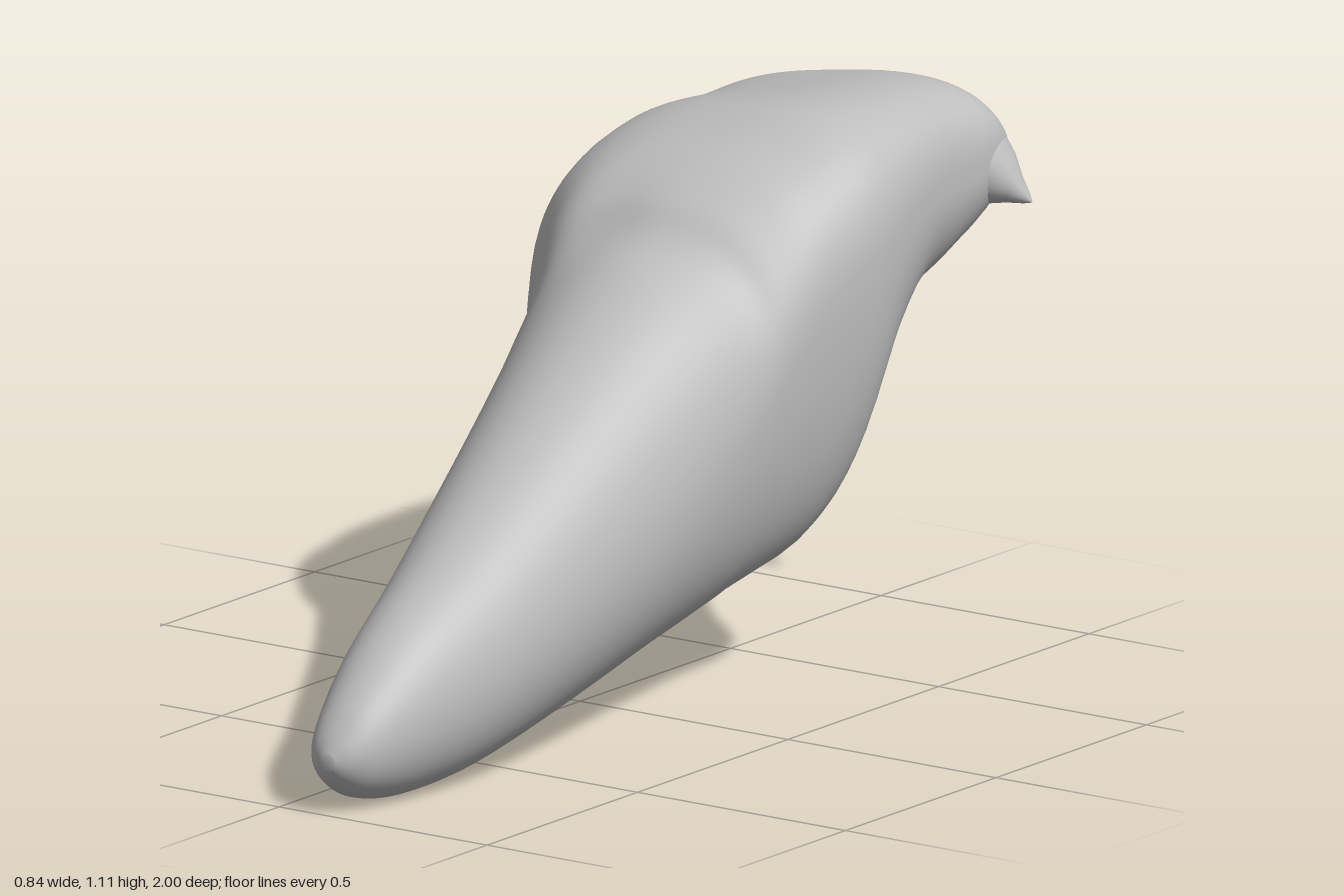
import * as THREE from 'three';

// Outline from root tip to biting edge: z, left x, right x, bottom y, top y
const OUTLINE = [
  [1.0, 0.10, 0.13, 0.09, 0.12],
  [0.975, 0.06, 0.165, 0.055, 0.165],
  [0.92, 0.03, 0.20, 0.02, 0.23],
  [0.80, -0.01, 0.24, 0.0, 0.33],
  [0.60, -0.06, 0.28, 0.01, 0.45],
  [0.30, -0.135, 0.31, 0.06, 0.64],
  [0.0, -0.21, 0.33, 0.12, 0.83],
  [-0.14, -0.24, 0.34, 0.16, 0.905],
  [-0.21, -0.28, 0.35, 0.18, 0.975],
  [-0.30, -0.33, 0.365, 0.20, 1.03],
  [-0.41, -0.36, 0.38, 0.225, 1.07],
  [-0.50, -0.37, 0.385, 0.28, 1.10],
  [-0.60, -0.40, 0.375, 0.44, 1.11],
  [-0.70, -0.42, 0.365, 0.57, 1.112],
  [-0.80, -0.42, 0.36, 0.62, 1.11],
  [-0.90, -0.39, 0.36, 0.69, 1.095],
  [-0.965, -0.34, 0.335, 0.77, 1.04],
  [-0.992, -0.27, 0.29, 0.84, 0.985],
  [-1.0, -0.18, 0.22, 0.89, 0.94],
];
const SIDES = 72, STEPS = 5;

const bump = (v, centre, width) => Math.exp(-(((v - centre) / width) ** 2));
const power = (v, e) => Math.sign(v) * Math.abs(v) ** e;

// Smooth in-between section
function sectionAt(u) {
  const last = OUTLINE.length - 1;
  const i = Math.min(Math.floor(u), last - 1), t = u - i;
  const at = k => OUTLINE[Math.max(0, Math.min(last, k))];
  const [a, b, c, d] = [at(i - 1), at(i), at(i + 1), at(i + 2)];
  return b.map((p, k) => p + 0.5 * t * (c[k] - a[k]
    + t * (2 * a[k] - 5 * p + 4 * c[k] - d[k] + t * (3 * (p - c[k]) + d[k] - a[k]))));
}

// One closed ring: flat-topped upper half, rounded keel below
function ring([z, xl, xr, yb, yt]) {
  const cx = (xl + xr) / 2, hw = (xr - xl) / 2;
  const ym = yb + (yt - yb) * (0.5 + 0.15 * bump(z, -0.38, 0.3));
  const topPower = 2 / (2 + 0.8 * THREE.MathUtils.smoothstep(-z, -0.1, 0.7));
  const keelShift = 0.09 * bump(z, -0.38, 0.27);
  const tilt = 0.2 * bump(z, -0.75, 0.3);
  const hollow = 0.07 * bump(z, -0.76, 0.12);
  const pts = [];
  for (let j = 0; j < SIDES; j++) {
    const a = j / SIDES * Math.PI * 2, c = Math.cos(a), s = Math.sin(a);
    const e = s > 0 ? topPower : 1;
    const px = power(c, e), py = power(s, e);
    const up = Math.max(0, s), down = Math.max(0, -s) ** 2;
    const x = cx + px * hw + keelShift * down;
    const y = ym + py * (s > 0 ? yt - ym : ym - yb) + tilt * px * hw + hollow * down * (1 - px * px);
    // scalloped gum line across the upper face
    const gum = up * bump(z, -0.19, 0.12) * (0.04 * bump(x, -0.17, 0.08) - 0.05 * Math.max(0, px));
    pts.push([x, y, z + gum]);
  }
  // keep the tilted ring within its height range
  const ys = pts.map(p => p[1]), lo = Math.min(...ys), hi = Math.max(...ys);
  return pts.map(([x, y, pz]) => [x, yb + (y - lo) / (hi - lo) * (yt - yb), pz]);
}

function toothGeometry() {
  const pos = [], idx = [], rings = (OUTLINE.length - 1) * STEPS;
  for (let i = 0; i <= rings; i++) ring(sectionAt(i / STEPS)).forEach(p => pos.push(...p));
  for (let i = 0; i < rings; i++) {
    for (let j = 0; j < SIDES; j++) {
      const k = (j + 1) % SIDES;
      const a = i * SIDES + j, b = i * SIDES + k, c = a + SIDES, d = b + SIDES;
      idx.push(a, c, b, b, c, d);
    }
  }
  // end caps
  const tip = pos.length / 3, r = rings * SIDES;
  pos.push(0.115, 0.105, 1, 0.02, 0.915, -1);
  for (let j = 0; j < SIDES; j++) {
    const k = (j + 1) % SIDES;
    idx.push(tip, j, k, tip + 1, r + k, r + j);
  }
  const g = new THREE.BufferGeometry();
  g.setAttribute('position', new THREE.Float32BufferAttribute(pos, 3));
  g.setIndex(idx);
  g.computeVertexNormals();
  return g;
}

export function createModel() {
  const group = new THREE.Group();
  group.name = 'tooth';
  const enamel = new THREE.MeshStandardMaterial({ color: 0xbdbdbd });
  enamel.name = 'light grey';

  const body = new THREE.Mesh(toothGeometry(), enamel);
  body.name = 'crownAndRoot';
  group.add(body);

  // Small pointed spur on the corner of the biting edge
  const profile = [[0.085, 0], [0.06, 0.05], [0.03, 0.09], [0.012, 0.12], [0, 0.135]]
    .map(p => new THREE.Vector2(...p));
  const spur = new THREE.Mesh(new THREE.LatheGeometry(profile, 24), enamel);
  spur.name = 'cornerSpur';
  spur.position.set(0.3, 0.935, -0.905);
  spur.quaternion.setFromUnitVectors(new THREE.Vector3(0, 1, 0),
    new THREE.Vector3(0.115, -0.065, -0.025).normalize());
  group.add(spur);
  return group;
}
